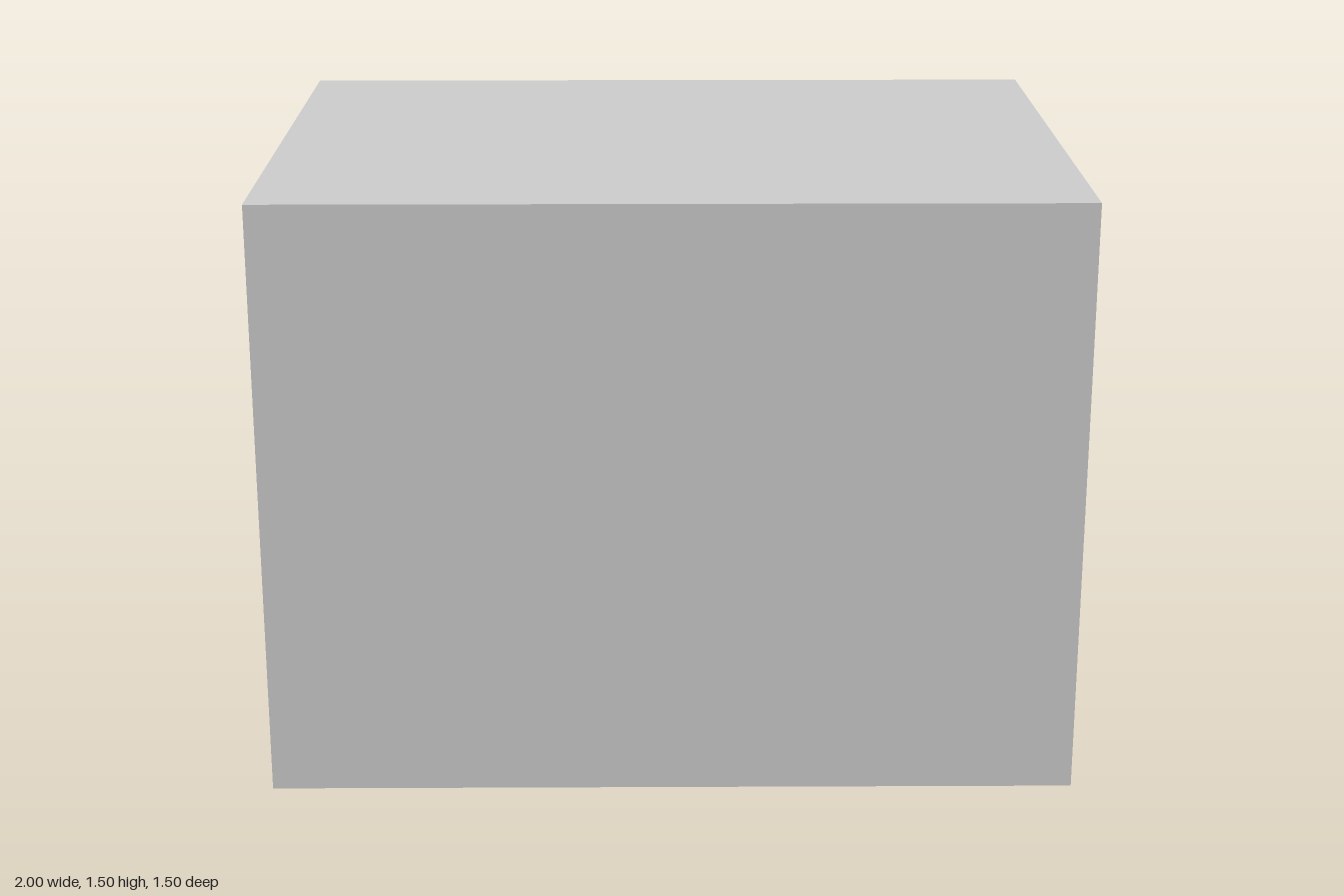
import * as THREE from 'three';

const TOP = 1.5, BACK = -0.75, FRONT = 0.75;
const POCKET_Z = -0.657, SLOT_Z = -0.55; // floors of the shallow pocket and the deep slot

// Extrude a closed xy outline between two z planes
function layer(name, points, z0, z1, material) {
  const shape = new THREE.Shape(points.map(([x, y]) => new THREE.Vector2(x, y)));
  const geometry = new THREE.ExtrudeGeometry(shape, { depth: z1 - z0, bevelEnabled: false });
  geometry.translate(0, 0, z0);
  const mesh = new THREE.Mesh(geometry, material);
  mesh.name = name;
  return mesh;
}

// Block outline with the given recess path cut in from the -x side
const withRecess = (recess) => [[-1, 0], [1, 0], [1, TOP], [-1, TOP], ...recess];

export function createModel() {
  const group = new THREE.Group();
  group.name = 'recessedBlock';
  const material = new THREE.MeshStandardMaterial({ color: 0xcccccc, flatShading: true });

  // Solid main block
  group.add(layer('mainBlock', withRecess([]), SLOT_Z, FRONT, material));

  // Middle layer: only the deep side slot
  group.add(layer('slotLayer', withRecess([
    [-1, 1.31], [-0.5, 1.31], [-0.5, 0.5], [-1, 0.5],
  ]), POCKET_Z, SLOT_Z, material));

  // Rear layer: the slot joined to the shallow rectangular pocket
  group.add(layer('pocketLayer', withRecess([
    [-1, 1.31], [-0.5, 1.31], [-0.5, 1.253], [0.628, 1.253],
    [0.628, 0.566], [-0.5, 0.566], [-0.5, 0.5], [-1, 0.5],
  ]), BACK, POCKET_Z, material));

  // Shelf across the slot, flush with the back and the side
  group.add(layer('slotShelf', [
    [-1, 0.628], [-0.5, 0.628], [-0.5, 0.717], [-1, 0.717],
  ], BACK, SLOT_Z, material));

  return group;
}
